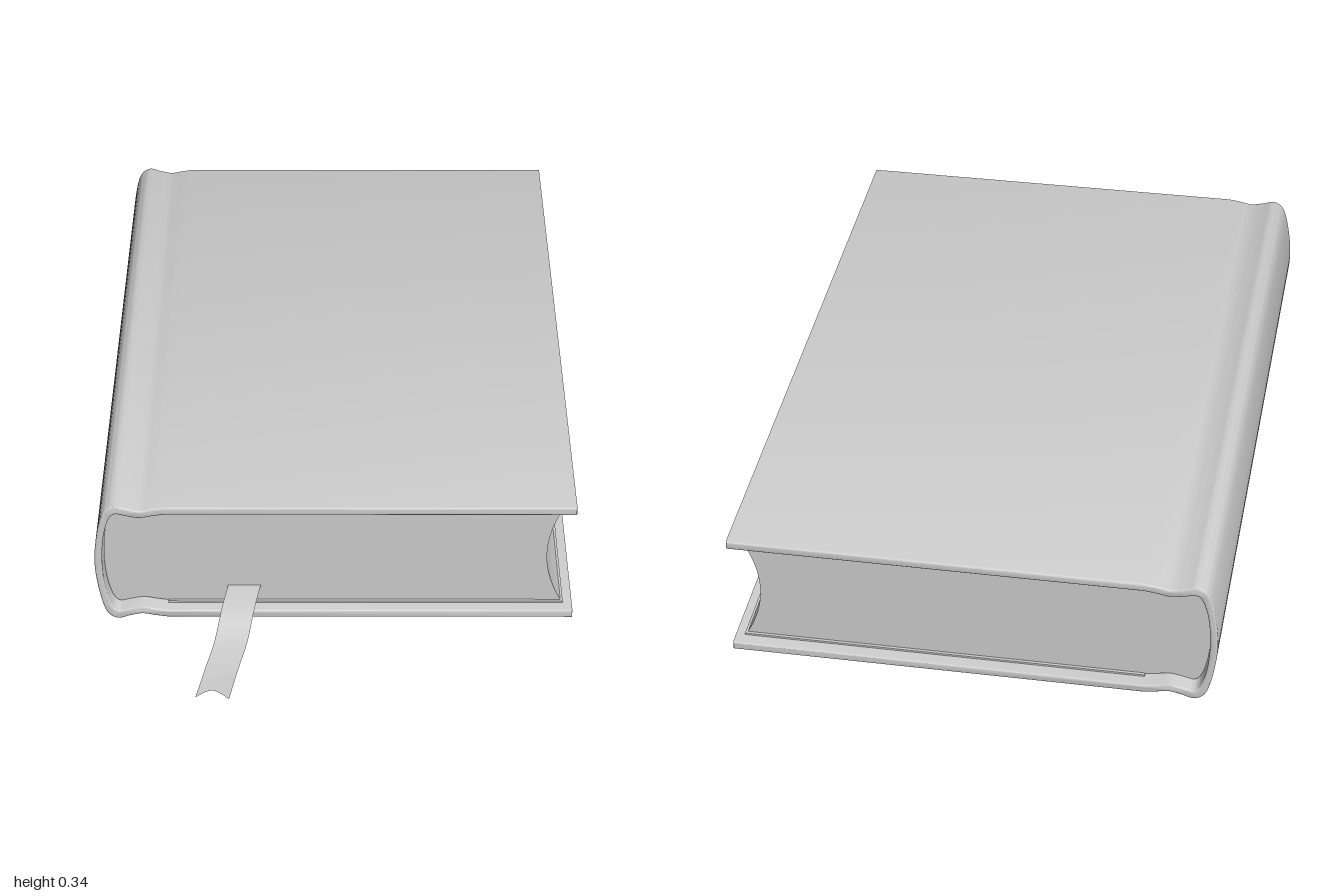
import * as THREE from 'three';
import { toCreasedNormals } from 'three/addons/utils/BufferGeometryUtils.js';

const material = new THREE.MeshStandardMaterial({ color: 0xcccccc, side: THREE.DoubleSide });
const LENGTH = 1.68;

const vec = ([x, y]) => new THREE.Vector2(x, y);

// Smooth C-shaped line: upper joint, round spine, lower joint (mirrored in y)
function spineLine(half) {
  const mirrored = half.slice(0, -1).reverse().map(([x, y]) => [x, -y]);
  return new THREE.SplineCurve([...half, ...mirrored].map(vec)).getPoints(96);
}

// Extrude an outline along z, centred, with smooth curves and crisp edges
function extrude(name, points, depth, bevel = 0) {
  const geometry = new THREE.ExtrudeGeometry(new THREE.Shape(points), {
    depth: depth - 2 * bevel,
    bevelEnabled: bevel > 0,
    bevelThickness: bevel, bevelSize: bevel, bevelOffset: -bevel, bevelSegments: 3,
  });
  geometry.translate(0, 0, -depth / 2 + bevel);
  const mesh = new THREE.Mesh(toCreasedNormals(geometry, 0.6), material);
  mesh.name = name;
  return mesh;
}

// Bookmark ribbon: a bent strip with a notched tail
function createRibbon() {
  const path = new THREE.CatmullRomCurve3([
    [-0.205, 0.086, 0.58], [-0.218, 0.085, 0.65], [-0.23, 0.073, 0.72],
    [-0.245, 0.038, 0.80], [-0.265, 0.023, 0.89], [-0.283, 0.021, 0.995],
  ].map((p) => new THREE.Vector3(...p)));
  const geometry = new THREE.PlaneGeometry(1, 1, 8, 40);
  const pos = geometry.attributes.position;
  for (let i = 0; i < pos.count; i++) {
    const side = pos.getX(i) * 2;
    const t = 0.5 - pos.getY(i);
    const p = path.getPoint(t);
    const tail = THREE.MathUtils.smoothstep(t, 0.8, 1);
    const notch = -0.03 * (1 - Math.abs(side) ** 1.5) * tail;
    pos.setXYZ(i, p.x + side * 0.039, p.y + 0.002 * side * tail, p.z + notch + side * 0.006 * tail);
  }
  geometry.computeVertexNormals();
  const mesh = new THREE.Mesh(geometry, material);
  mesh.name = 'bookmarkRibbon';
  return mesh;
}

export function createModel() {
  const model = new THREE.Group();
  model.name = 'book';

  // The closed book rests at a very slight tilt
  const book = new THREE.Group();
  book.name = 'boundBook';
  book.position.set(0, 0.17, -0.16);
  book.rotation.x = -0.0089;

  const outer = spineLine([[-0.40, 0.1575], [-0.43, 0.153], [-0.46, 0.148], [-0.49, 0.154],
    [-0.52, 0.161], [-0.546, 0.14], [-0.562, 0.075], [-0.569, 0]]);
  const inner = spineLine([[-0.40, 0.1375], [-0.43, 0.133], [-0.46, 0.128], [-0.49, 0.133],
    [-0.517, 0.138], [-0.533, 0.12], [-0.546, 0.07], [-0.551, 0]]);

  // Hard cover: two boards joined by the grooved, rounded spine
  const cover = [vec([0.567, 0.1575]), ...outer, vec([0.567, -0.1575]),
    vec([0.567, -0.1375]), ...[...inner].reverse(), vec([0.567, 0.1375])];
  book.add(extrude('cover', cover, LENGTH, 0.004));

  // Page block: follows the spine inside, hollowed at the fore edge
  const foreEdge = new THREE.QuadraticBezierCurve(
    vec([0.541, -0.135]), vec([0.466, 0]), vec([0.541, 0.135])).getPoints(32);
  const pages = [...inner.map((p) => new THREE.Vector2(p.x + 0.002, p.y * 0.982)), ...foreEdge];
  book.add(extrude('pageBlock', pages, 1.60));

  // Endpapers pasted inside both boards
  for (const side of [1, -1]) {
    const paper = new THREE.Mesh(new THREE.BoxGeometry(0.945, 0.005, 1.615), material);
    paper.name = side > 0 ? 'upperEndpaper' : 'lowerEndpaper';
    paper.position.set(0.073, side * 0.1355, 0);
    book.add(paper);
  }

  model.add(book, createRibbon());
  return model;
}
